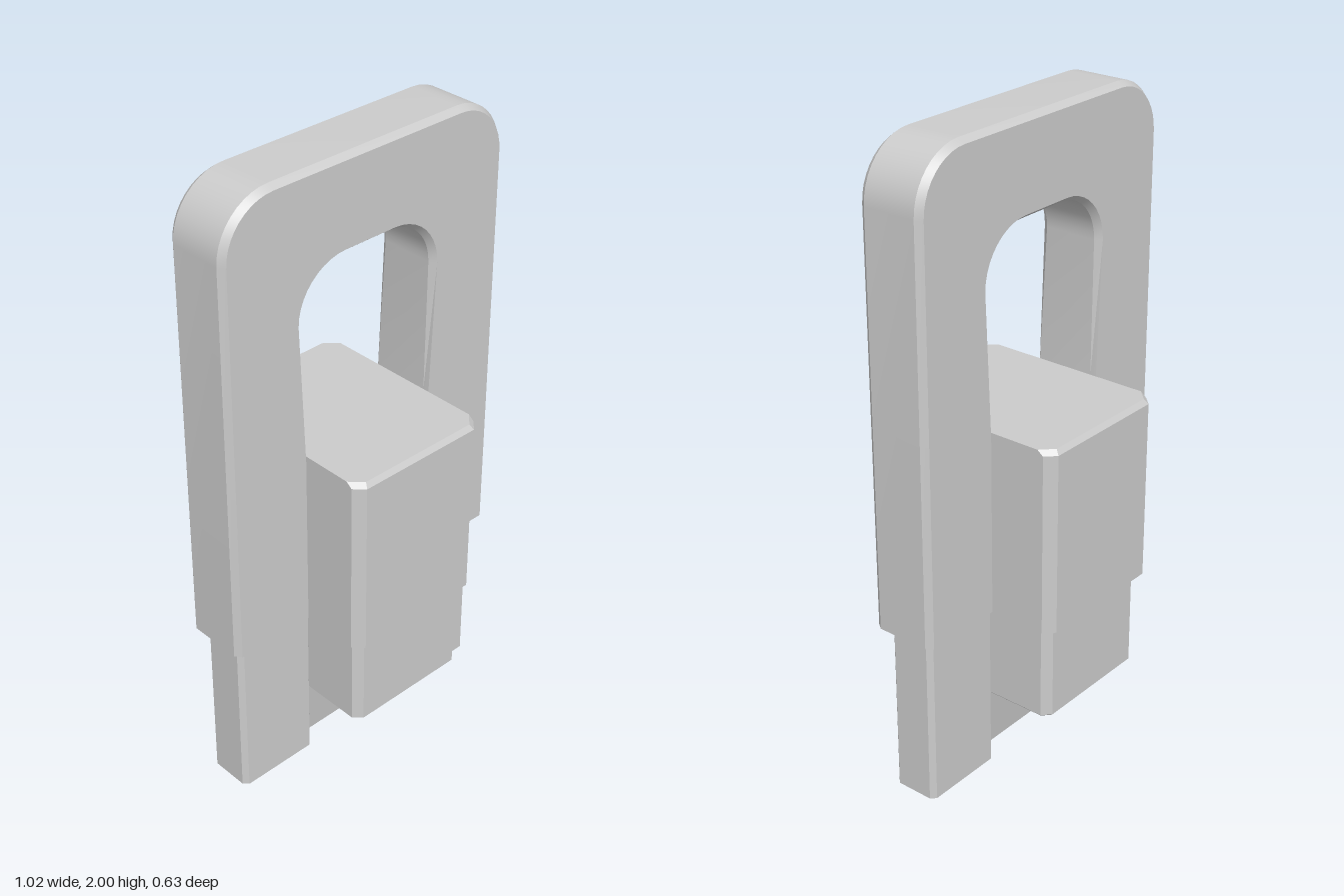
import * as THREE from 'three';
import { toCreasedNormals } from 'three/addons/utils/BufferGeometryUtils.js';

const material = new THREE.MeshStandardMaterial({ color: 0xcccccc });

function add(parent, name, geometry) {
  const mesh = new THREE.Mesh(geometry, material);
  mesh.name = name;
  parent.add(mesh);
}

// Chamfered rectangle in plan; corners listed so the sides face outwards.
// Chamfer is cOut at the x1 end and cIn at the x0 end.
function plan(y, x0, x1, hz, cOut, cIn = cOut) {
  return [
    [x1 - cOut, hz], [x1, hz - cOut], [x1, cOut - hz], [x1 - cOut, -hz],
    [x0 + cIn, -hz], [x0, cIn - hz], [x0, hz - cIn], [x0 + cIn, hz],
  ].map(([x, z]) => [x, y, z]);
}

// Flat-shaded solid through plan rings, from bottom to top.
function loft(rings) {
  const n = rings[0].length;
  const index = [];
  for (let r = 0; r < rings.length - 1; r++) {
    for (let i = 0; i < n; i++) {
      const a = r * n + i, b = r * n + (i + 1) % n;
      index.push(a, b, b + n, a, b + n, a + n);
    }
  }
  const top = (rings.length - 1) * n;
  for (let i = 1; i < n - 1; i++) {
    index.push(0, i + 1, i, top, top + i, top + i + 1);
  }
  const g = new THREE.BufferGeometry();
  g.setAttribute('position', new THREE.Float32BufferAttribute(rings.flat(2), 3));
  g.setIndex(index);
  const flat = g.toNonIndexed();
  flat.computeVertexNormals();
  return flat;
}

// Arch outline: straight foot, tapering sides, rounded top corners.
function arch(path, footX, footY, x, top, r) {
  const k = r * 0.45;
  path.moveTo(-footX, footY);
  path.lineTo(footX, footY);
  path.lineTo(x, top - r);
  path.bezierCurveTo(x, top - k, x - k, top, x - r, top);
  path.lineTo(r - x, top);
  path.bezierCurveTo(k - x, top, -x, top - k, -x, top - r);
  path.closePath();
  return path;
}

function frameGeometry() {
  const shape = arch(new THREE.Shape(), 0.495, 0.575, 0.495, 1.985, 0.16);
  shape.holes.push(arch(new THREE.Path(), 0.24, 1.12, 0.26, 1.73, 0.17));
  const g = new THREE.ExtrudeGeometry(shape, {
    depth: 0.17, bevelThickness: 0.02, bevelSize: 0.015, bevelSegments: 1, curveSegments: 10,
  });
  g.translate(0, 0, -0.085);
  // Square off the foot, and let the opening's bevel run out at the block.
  const p = g.attributes.position;
  for (let i = 0; i < p.count; i++) {
    const x = p.getX(i), y = p.getY(i);
    if (y < 0.6) p.setY(i, 0.56);
    else if (y < 1.2 && Math.abs(x) < 0.3) p.setX(i, Math.sign(x) * 0.24);
  }
  return toCreasedNormals(g, 0.5);
}

export function createModel() {
  const model = new THREE.Group();
  model.name = 'latchClip';

  // Upper arch with its opening
  add(model, 'frame', frameGeometry());

  // Block passing through the frame, and its narrower lower step
  add(model, 'upperBlock', loft([
    plan(0.56, -0.24, 0.24, 0.317, 0.03),
    plan(1.125, -0.24, 0.24, 0.317, 0.03),
    plan(1.14, -0.24, 0.24, 0.305, 0.037),
  ]));
  add(model, 'lowerBlock', loft([
    plan(0.245, -0.205, 0.205, 0.28, 0.022),
    plan(0.255, -0.215, 0.215, 0.29, 0.025),
    plan(0.57, -0.215, 0.215, 0.29, 0.025),
  ]));

  // Pair of legs, chamfered on their outer edges
  for (const side of [1, -1]) {
    const leg = (y, inset) => side > 0
      ? plan(y, 0.215 + inset, 0.48 - inset, 0.075 - inset, 0.015, 0.001)
      : plan(y, inset - 0.48, -0.215 - inset, 0.075 - inset, 0.001, 0.015);
    add(model, side > 0 ? 'leftLeg' : 'rightLeg',
      loft([leg(0, 0.01), leg(0.01, 0), leg(0.57, 0)]));
  }

  // Web between the legs, thinning towards its lower edge
  add(model, 'web', loft([
    plan(0.05, -0.22, 0.22, 0.05, 0.001),
    plan(0.25, -0.22, 0.22, 0.074, 0.001),
    plan(0.57, -0.22, 0.22, 0.074, 0.001),
  ]));

  return model;
}
